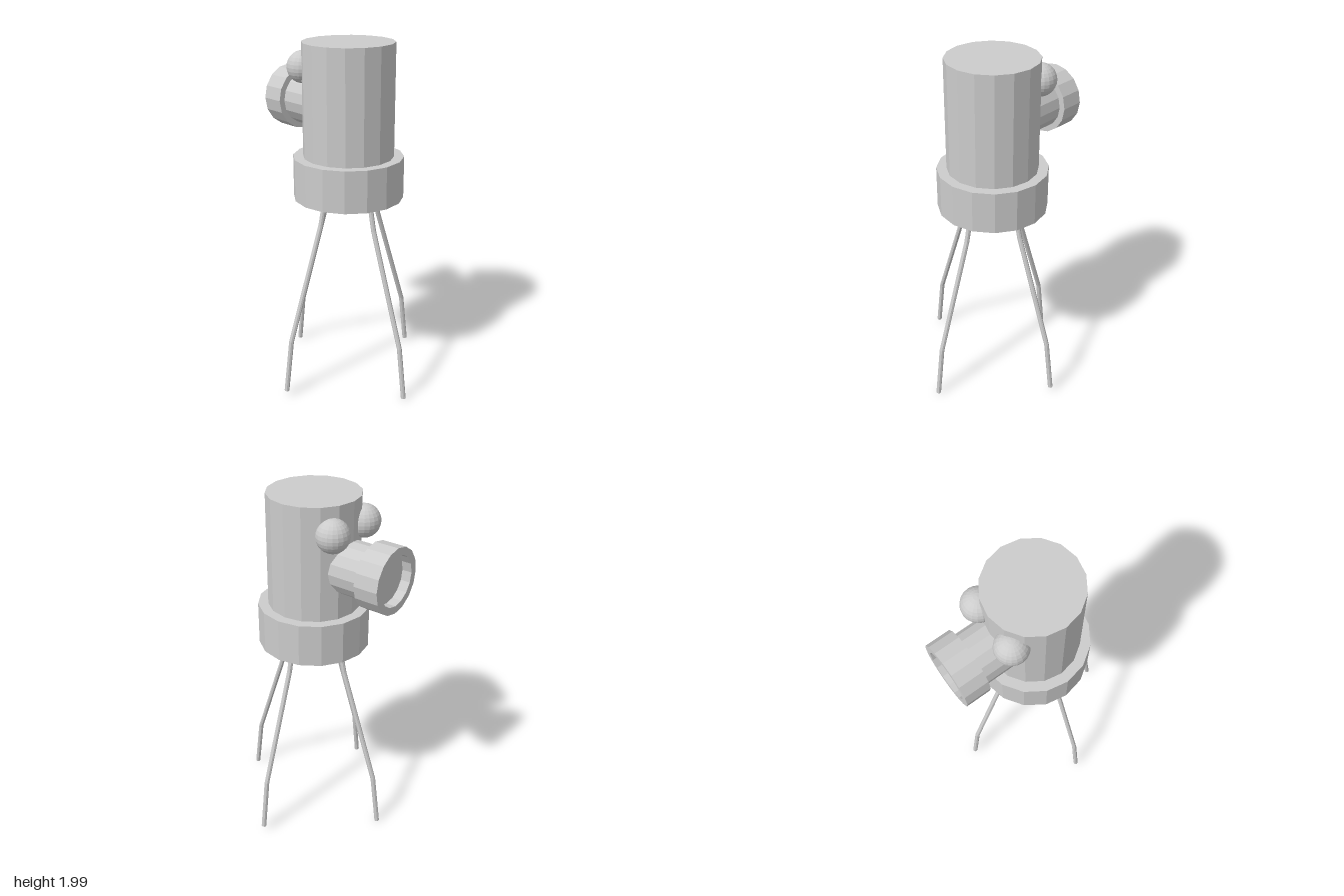
import * as THREE from 'three';

const SIDES = 16;
const AXIS_Z = 0.016; // z of the body axis

export function createModel() {
  const model = new THREE.Group();
  const mat = new THREE.MeshStandardMaterial({ color: 0xcccccc, flatShading: true });

  const add = (name, geometry, x = 0, y = 0, z = 0, parent = model) => {
    const mesh = new THREE.Mesh(geometry, mat);
    mesh.name = name;
    mesh.position.set(x, y, z);
    parent.add(mesh);
    return mesh;
  };
  const lathe = (profile) =>
    new THREE.LatheGeometry(profile.map(([r, h]) => new THREE.Vector2(r, h)), SIDES);

  // Upright body
  add('body', lathe([[0, 1.19], [0.257, 1.19], [0.257, 2], [0, 2]]), 0, 0, AXIS_Z);

  // Base collar, recessed underneath
  add('baseCollar', lathe([
    [0, 1.185], [0.245, 1.185], [0.245, 1.125], [0.314, 1.125], [0.314, 1.365], [0, 1.365],
  ]), 0, 0, AXIS_Z);

  // Snout pointing backwards, with a wider hollow rim
  const snout = add('snout', lathe([
    [0, 0.1], [0.148, 0.1], [0.148, 0.375], [0.182, 0.375],
    [0.182, 0.515], [0.14, 0.515], [0.14, 0.46], [0, 0.46],
  ]), 0, 1.635, 0);
  snout.rotation.x = -Math.PI / 2;

  // Eyes above the snout
  for (const side of [1, -1]) {
    add(side > 0 ? 'leftEye' : 'rightEye', new THREE.SphereGeometry(0.091, 20, 14), side * 0.137, 1.85, -0.21);
  }

  // Bent thin leg running outwards along +z, with a flat foot
  const points = [[0.168, 1.2], [0.214, 0.98], [0.442, 0.32], [0.484, 0.015]]
    .map(([r, h]) => new THREE.Vector3(0, h, r));
  const path = new THREE.CurvePath();
  for (let i = 1; i < points.length; i++) path.add(new THREE.LineCurve3(points[i - 1], points[i]));
  const tube = new THREE.TubeGeometry(path, 32, 0.014, 8, false);
  const foot = new THREE.CircleGeometry(0.014, 8);

  ['front', 'left', 'back', 'right'].forEach((name, i) => {
    const leg = new THREE.Group();
    leg.name = name + 'Leg';
    const sideways = i % 2 === 1;
    leg.position.set(0, sideways ? 0.02 : -0.008, sideways ? 0.026 : AXIS_Z);
    add(name + 'LegTube', tube, 0, 0, 0, leg);
    const cap = add(name + 'Foot', foot, points[3].x, points[3].y, points[3].z, leg);
    cap.lookAt(points[3].clone().add(path.getTangent(1)));
    leg.rotation.y = i * Math.PI / 2;
    model.add(leg);
  });

  return model;
}
